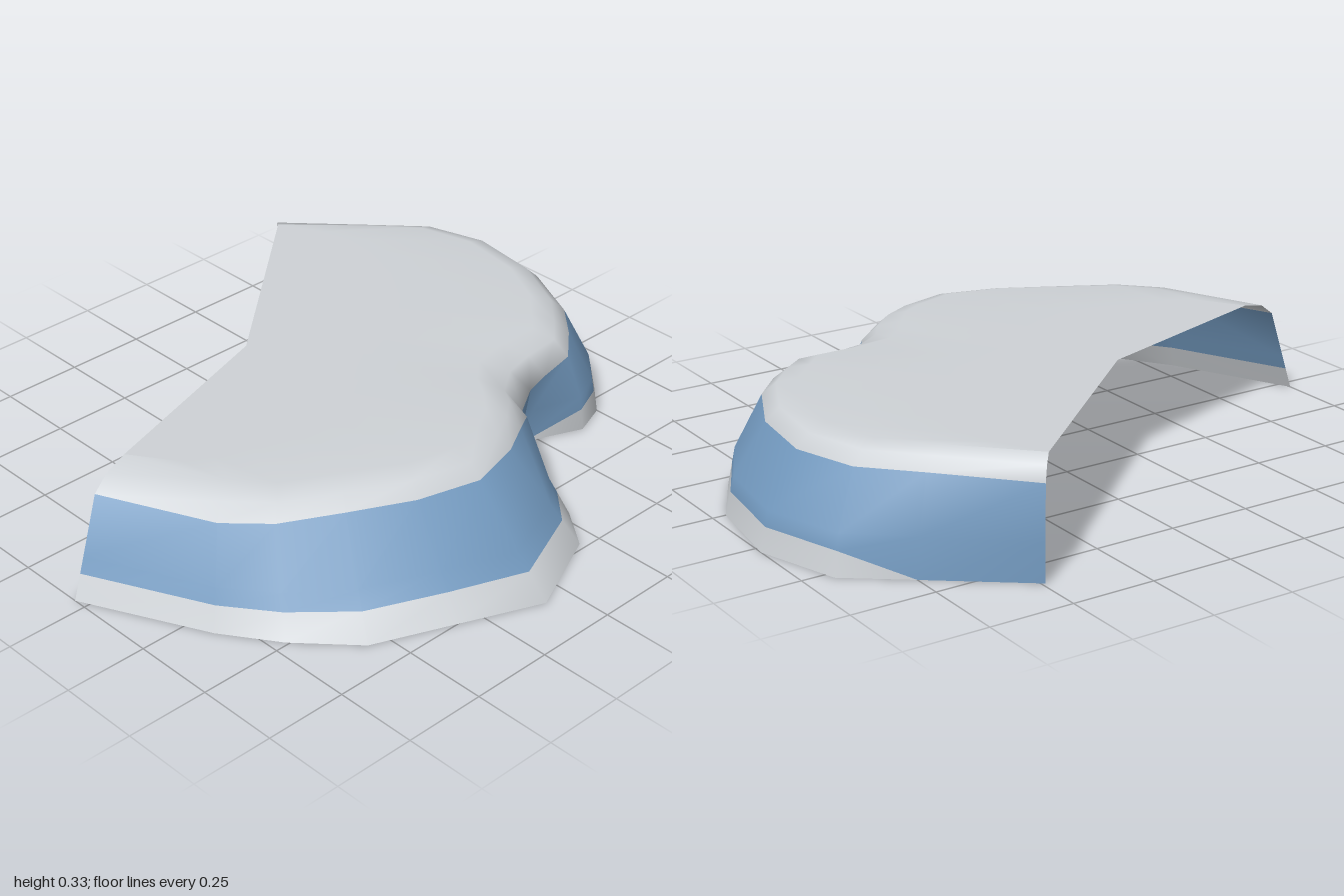
import * as THREE from 'three';

// Stations around the skirt: base x,z | top of blue band x,z | rim x,z
const STATIONS = [
  [-1.0, -0.04, -0.88, -0.08, -0.75, -0.11],
  [-0.82, 0.33, -0.73, 0.25, -0.63, 0.18],
  [-0.71, 0.49, -0.62, 0.36, -0.54, 0.28],
  [-0.56, 0.65, -0.45, 0.45, -0.39, 0.36],
  [-0.32, 0.75, -0.27, 0.54, -0.23, 0.45],
  [-0.08, 0.85, -0.08, 0.59, -0.07, 0.49],
  [0.19, 0.73, 0.09, 0.545, 0.06, 0.45],
  [0.28, 0.61, 0.19, 0.49, 0.13, 0.41],
  [0.30, 0.49, 0.27, 0.44, 0.19, 0.34],
  [0.30, 0.38, 0.30, 0.395, 0.23, 0.28],
  [0.285, 0.19, 0.40, 0.335, 0.30, 0.22],
  [0.46, 0.265, 0.49, 0.31, 0.42, 0.20],
  [0.64, 0.34, 0.60, 0.30, 0.55, 0.20],
  [0.75, 0.30, 0.68, 0.23, 0.61, 0.14],
  [0.85, 0.20, 0.77, 0.13, 0.69, 0.06],
  [0.96, 0.0, 0.865, -0.07, 0.77, -0.10],
  [1.0, -0.28, 0.895, -0.30, 0.80, -0.30],
  [0.92, -0.53, 0.835, -0.49, 0.755, -0.47],
  [0.75, -0.66, 0.70, -0.63, 0.64, -0.60],
  [0.49, -0.86, 0.49, -0.86, 0.44, -0.80],
];
const CLEFT = 10, LAST = STATIONS.length - 1;
const TOP = 0.33;

// Open back edge of the top, bent in the middle
const BACK = [[-0.75, -0.11], [-0.13, -0.31], [0.44, -0.80]]
  .map(([x, z]) => new THREE.Vector3(x, TOP, z));

// Cross-section from the base, up the wall and over the top to the back edge
function section([bx, bz, ax, az, rx, rz], i) {
  const inCleft = Math.abs(i - CLEFT) <= 1;
  const bandTop = inCleft ? 0.24 : i === CLEFT - 2 || i === CLEFT + 2 ? 0.255 : 0.275;
  const bandLow = inCleft || i >= LAST - 1 ? 0 : 0.07;
  const base = new THREE.Vector3(bx, 0, bz);
  const band = new THREE.Vector3(ax, bandTop, az);
  const rim = new THREE.Vector3(rx, TOP, rz);
  const mid = base.clone().lerp(band, i > CLEFT + 1 ? 0.22 : 0.42).setY(0.115);
  const low = base.clone().lerp(mid, bandLow / 0.115).setY(bandLow);
  const shoulder = band.clone().lerp(rim, 0.4).setY(bandTop + (TOP - bandTop) * 0.68);
  const back = i <= CLEFT
    ? BACK[0].clone().lerp(BACK[1], i / CLEFT)
    : BACK[1].clone().lerp(BACK[2], (i - CLEFT) / (LAST - CLEFT));
  const middle = rim.clone().lerp(back, 0.5);
  return [base, low, mid, band, shoulder, rim, middle, back];
}

export function createModel() {
  const grey = new THREE.MeshStandardMaterial({ color: 0xced2d6, side: THREE.DoubleSide });
  grey.name = 'light grey';
  const blue = new THREE.MeshStandardMaterial({ color: 0x749bc1, side: THREE.DoubleSide });
  blue.name = 'blue';

  const sections = STATIONS.map(section);
  const rows = sections[0].length;
  const geometry = new THREE.BufferGeometry().setFromPoints(sections.flat());

  // Strips between neighbouring rows, each with its own colour
  const index = [];
  for (let j = 0; j < rows - 1; j++) {
    const start = index.length;
    for (let i = 0; i < LAST; i++) {
      const a = i * rows + j, b = a + rows;
      index.push(a, b, b + 1, a, b + 1, a + 1);
    }
    geometry.addGroup(start, index.length - start, j === 1 || j === 2 ? 1 : 0);
  }
  geometry.setIndex(index);
  geometry.computeVertexNormals();

  const shell = new THREE.Mesh(geometry, [grey, blue]);
  shell.name = 'bandedShell';
  const model = new THREE.Group();
  model.name = 'openShell';
  model.add(shell);
  return model;
}
